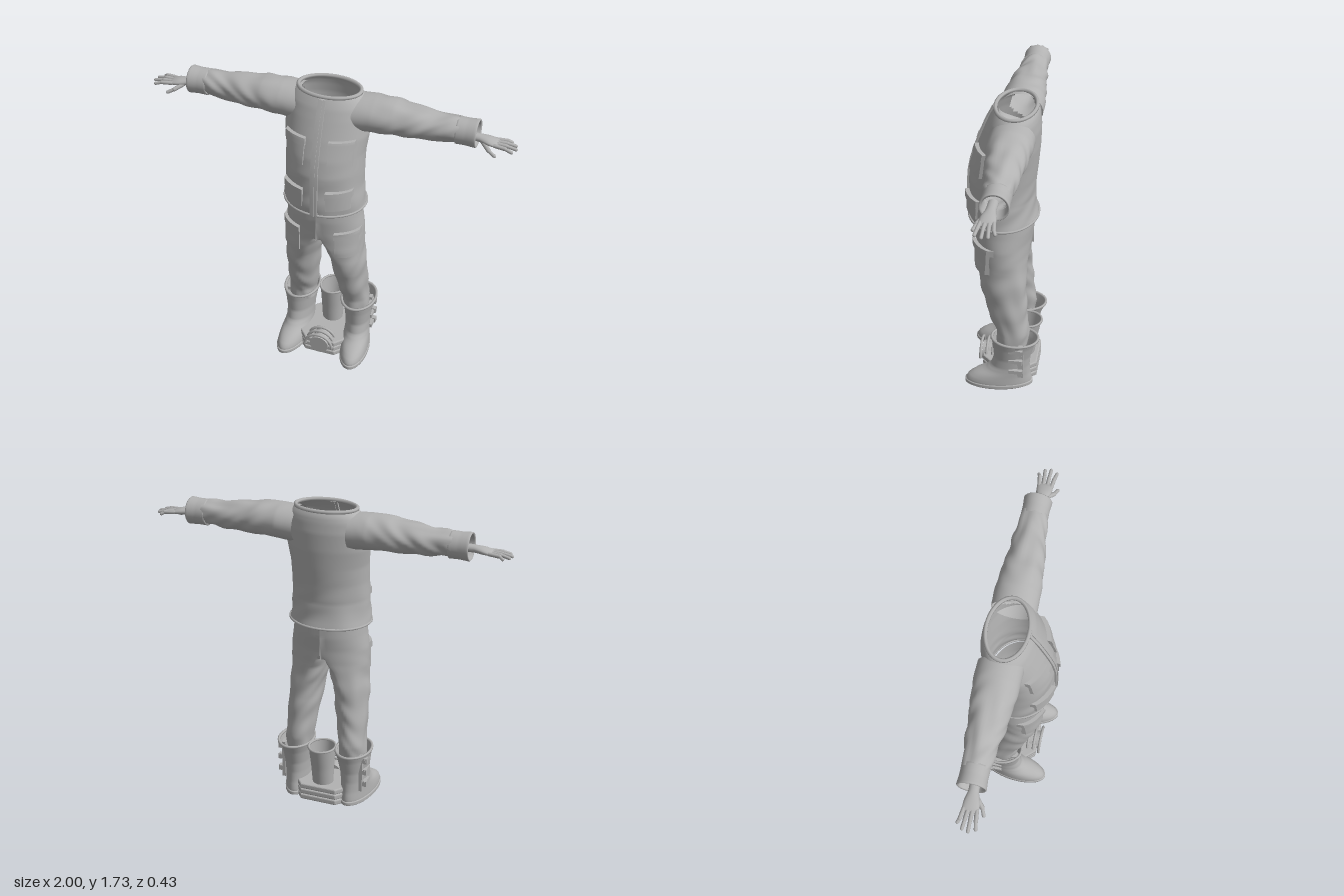
import * as THREE from 'three';

const cloth = new THREE.MeshStandardMaterial({ color: 0xb2b2b2, side: THREE.DoubleSide });
cloth.name = 'plain grey';

// Linear interpolation in a table of rows [t, a, b, ...]
function at(table, t) {
  let i = 0;
  while (i < table.length - 2 && t > table[i + 1][0]) i++;
  const p = table[i], q = table[i + 1];
  const k = Math.min(1, Math.max(0, (t - p[0]) / (q[0] - p[0])));
  return p.slice(1).map((v, j) => v + (q[j + 1] - v) * k);
}

function mesh(name, geometry) {
  const m = new THREE.Mesh(geometry, cloth);
  m.name = name;
  return m;
}

// Tube of closed rings: point(t, angle) gives a position, skip(x, y, z) cuts openings
function loft(t0, t1, rows, cols, point, skip) {
  const pos = [], idx = [];
  for (let i = 0; i <= rows; i++)
    for (let j = 0; j < cols; j++)
      pos.push(...point(t0 + (t1 - t0) * i / rows, j / cols * Math.PI * 2));
  for (let i = 0; i < rows; i++)
    for (let j = 0; j < cols; j++) {
      const a = i * cols + j, b = i * cols + (j + 1) % cols, c = a + cols, d = b + cols;
      if (skip && skip(pos[a * 3], pos[a * 3 + 1], pos[a * 3 + 2])) continue;
      idx.push(a, c, b, b, c, d);
    }
  const g = new THREE.BufferGeometry();
  g.setAttribute('position', new THREE.Float32BufferAttribute(pos, 3));
  g.setIndex(idx);
  g.computeVertexNormals();
  return g;
}

// Rounded trim following a horizontal ellipse
function trim(name, x, y, z, rx, rz, r) {
  const pts = [];
  for (let i = 0; i < 24; i++) {
    const a = i / 24 * Math.PI * 2;
    pts.push(new THREE.Vector3(x + rx * Math.cos(a), y, z + rz * Math.sin(a)));
  }
  return mesh(name, new THREE.TubeGeometry(new THREE.CatmullRomCurve3(pts, true), 64, r, 6, true));
}

const wrinkle = (a, b) => Math.sin(a * 34 + 2.2 * Math.sin(b * 2 + a * 7)) * Math.sin(b * 3 + a * 11);

// Jacket body: y, half width, front z, back z
const BODY = [
  [1.06, 0.226, 0.205, -0.172], [1.1, 0.222, 0.207, -0.165], [1.2, 0.214, 0.205, -0.152],
  [1.3, 0.213, 0.2, -0.16], [1.4, 0.215, 0.182, -0.17], [1.5, 0.228, 0.15, -0.178],
  [1.6, 0.225, 0.112, -0.18], [1.66, 0.212, 0.088, -0.174], [1.69, 0.19, 0.072, -0.168], [1.71, 0.168, 0.06, -0.157]];
// Trouser leg: y, middle x, outer radius, inner radius, front z, back z
const LEG = [
  [0.29, 0.158, 0.077, 0.075, 0.03, -0.145], [0.36, 0.155, 0.078, 0.074, 0.036, -0.148],
  [0.45, 0.15, 0.08, 0.083, 0.07, -0.14], [0.6, 0.138, 0.092, 0.092, 0.112, -0.127],
  [0.7, 0.12, 0.106, 0.09, 0.135, -0.125], [0.8, 0.08, 0.14, 0.072, 0.155, -0.125],
  [0.84, 0.045, 0.175, 0.045, 0.16, -0.128], [0.92, 0, 0.22, 0, 0.17, -0.138],
  [1.0, 0, 0.208, 0, 0.18, -0.148], [1.1, 0, 0.2, 0, 0.182, -0.15]];
// Sleeve: x, middle y, y radius, middle z, z radius
const SLEEVE = [
  [0.15, 1.6, 0.098, -0.05, 0.118], [0.25, 1.608, 0.095, -0.052, 0.118], [0.36, 1.607, 0.092, -0.05, 0.108],
  [0.5, 1.602, 0.08, -0.052, 0.092], [0.62, 1.6, 0.07, -0.056, 0.077], [0.7, 1.6, 0.064, -0.057, 0.07]];
// Boot: y, half width, front z, back z
const BOOT = [
  [0.01, 0.077, 0.203, -0.165], [0.03, 0.08, 0.208, -0.168], [0.055, 0.079, 0.195, -0.165],
  [0.08, 0.077, 0.16, -0.16], [0.11, 0.074, 0.098, -0.157], [0.14, 0.072, 0.064, -0.155],
  [0.2, 0.074, 0.047, -0.16], [0.28, 0.085, 0.053, -0.182], [0.33, 0.096, 0.06, -0.202]];

function oval(table, y, a, cx = 0) {
  const [rx, f, b] = at(table, y);
  return [cx + rx * Math.cos(a), y, (f + b) / 2 + (f - b) / 2 * Math.sin(a)];
}
const bodyFront = (x, y) => {
  const [rx, f, b] = at(BODY, y);
  return (f + b) / 2 + (f - b) / 2 * Math.sqrt(Math.max(0.02, 1 - (x / rx) ** 2));
};
const legFront = (x, y) => {
  const [cx, ro, ri, f, b] = at(LEG, y);
  const k = (x - cx) / (x > cx ? ro : Math.max(ri, 0.01));
  return (f + b) / 2 + (f - b) / 2 * Math.sqrt(Math.max(0.02, 1 - k * k));
};

// Slab bent over a garment's front
function patch(name, x0, x1, y0, y1, depth, front) {
  const g = new THREE.BoxGeometry(x1 - x0, y1 - y0, depth, 10, 8, 1);
  g.translate((x0 + x1) / 2, (y0 + y1) / 2, 0);
  const p = g.attributes.position;
  for (let i = 0; i < p.count; i++) {
    const x = p.getX(i), y = p.getY(i);
    p.setXYZ(i, x * (1 + depth * 0.8), y, p.getZ(i) + front(x, y));
  }
  g.computeVertexNormals();
  return mesh(name, g);
}
function pocket(x0, x1, y0, y1, front) {
  const g = new THREE.Group();
  g.name = 'pocket';
  g.add(patch('pouch', x0, x1, y0, y1 - 0.02, 0.026, front),
    patch('pocketFlap', x0 - 0.005, x1 + 0.005, y1 - 0.04, y1, 0.042, front));
  return g;
}

function capsule(name, from, to, r) {
  const a = new THREE.Vector3(...from), b = new THREE.Vector3(...to), d = b.clone().sub(a);
  const m = mesh(name, new THREE.CapsuleGeometry(r, d.length(), 4, 8));
  m.position.copy(a).addScaledVector(d, 0.5);
  m.quaternion.setFromUnitVectors(new THREE.Vector3(0, 1, 0), d.normalize());
  return m;
}

function hand() {
  const g = new THREE.Group();
  g.name = 'hand';
  const PALM = [[0.73, 1.587, 0.022, -0.045, 0.026], [0.8, 1.585, 0.02, -0.043, 0.026],
    [0.85, 1.58, 0.019, -0.04, 0.041], [0.89, 1.574, 0.013, -0.04, 0.042], [0.905, 1.572, 0.004, -0.04, 0.035]];
  g.add(mesh('palm', loft(0.73, 0.905, 14, 16, (x, a) => {
    const [y, ry, z, rz] = at(PALM, x);
    return [x, y + ry * Math.cos(a), z + rz * Math.sin(a)];
  })));
  [[-0.072, -0.088, 0.957], [-0.051, -0.06, 0.984], [-0.03, -0.029, 0.991], [-0.008, 0.005, 0.975]].forEach(([z0, z1, x]) => {
    const mid = [0.94, 1.573, (z0 + z1) / 2];
    g.add(capsule('finger', [0.885, 1.575, z0], mid, 0.0105), capsule('fingertip', mid, [x, 1.563, z1], 0.009));
  });
  g.add(capsule('thumb', [0.82, 1.575, -0.025], [0.862, 1.553, 0.012], 0.012),
    capsule('thumbTip', [0.862, 1.553, 0.012], [0.895, 1.537, 0.026], 0.0095));
  return g;
}

function side() {
  const g = new THREE.Group();
  // Trouser leg; the inner half stays below the crotch
  g.add(mesh('trouserLeg', loft(1.1, 0.29, 70, 40, (y, a) => {
    const [cx, ro, ri, f, b] = at(LEG, y), c = Math.cos(a), s = Math.sin(a);
    const n = 0.005 * wrinkle(y, a) * Math.min(1, Math.max(0, (0.95 - y) * 5));
    const inner = c < -0.01;
    return [cx + c * ((inner ? ri : ro) + n * (c > 0 || y < 0.8 ? 1 : 0)),
      inner ? Math.min(y, 0.87) : y, (f + b) / 2 + s * ((f - b) / 2 + n)];
  })));
  g.add(pocket(0.1, 0.205, 0.77, 0.935, legFront));
  g.add(pocket(0.065, 0.178, 1.365, 1.51, bodyFront), pocket(0.065, 0.178, 1.11, 1.225, bodyFront));
  // Sleeve and turned-back cuff
  g.add(mesh('sleeve', loft(0.15, 0.7, 60, 36, (x, a) => {
    const [y, ry, z, rz] = at(SLEEVE, x);
    const n = 0.006 * wrinkle(x, a) * Math.min(1, Math.max(0, (x - 0.2) * 5));
    return [x, y + (ry + n) * Math.cos(a), z + (rz + n) * Math.sin(a)];
  })));
  const CUFF = [[0, 0.68, 0.062], [0.1, 0.682, 0.072], [0.45, 0.735, 0.071], [0.7, 0.785, 0.075], [0.8, 0.79, 0.071], [0.9, 0.785, 0.062], [1, 0.72, 0.058]];
  g.add(mesh('cuff', loft(0, 1, 20, 32, (t, a) => {
    const [x, r] = at(CUFF, t);
    return [x, 1.597 + r * Math.cos(a), -0.057 + r * Math.sin(a)];
  })));
  g.add(hand());
  // Boot with sole, rim and side straps
  const foot = new THREE.Group();
  foot.name = 'boot';
  const splay = ([x, y, z]) => [x + 0.1 * z, y, z];
  foot.add(mesh('bootUpper', loft(0.01, 0.33, 32, 36, (y, a) => splay(oval(BOOT, y, a, 0.18)))));
  const SOLE = [[0, 0.005, 0], [0.25, 0.98, 0], [0.4, 1.04, 0.006], [0.7, 1.04, 0.024], [0.85, 0.98, 0.03], [1, 0.9, 0.03]];
  foot.add(mesh('sole', loft(0, 1, 20, 36, (t, a) => {
    const [k, y] = at(SOLE, t);
    return splay([0.18 + 0.08 * k * Math.cos(a), y, 0.02 + 0.186 * k * Math.sin(a)]);
  })));
  foot.add(trim('bootRim', 0.173, 0.328, -0.071, 0.096, 0.131, 0.008));
  const box = (name, w, h, d, x, y, z) => {
    const m = mesh(name, new THREE.BoxGeometry(w, h, d));
    m.position.set(x, y, z);
    foot.add(m);
  };
  [0.282, 0.212, 0.138].forEach((y) => {
    box('strap', 0.03, 0.022, 0.08, 0.245, y, -0.085);
    box('buckle', 0.02, 0.032, 0.026, 0.256, y, -0.11);
  });
  box('strapBacking', 0.02, 0.22, 0.03, 0.232, 0.2, -0.112);
  g.add(foot);
  return g;
}

export function createModel() {
  const model = new THREE.Group();
  model.name = 'workSuit';
  // Jacket body with armholes
  model.add(mesh('jacketBody', loft(1.06, 1.71, 60, 72, (y, a) => {
    const p = oval(BODY, y, a), n = 0.004 * wrinkle(y, a) * Math.min(1, Math.max(0, (1.35 - y) * 5));
    return [p[0] + n * Math.cos(a), y, p[2] + n * Math.sin(a)];
  }, (x, y, z) => Math.abs(x) > 0.14 && Math.hypot(y - 1.6, z + 0.05) < 0.075)));
  model.add(trim('jacketHem', 0, 1.065, 0.0165, 0.226, 0.189, 0.007));
  model.add(trim('collar', 0, 1.714, -0.048, 0.168, 0.107, 0.011));
  model.add(patch('zipPlacket', -0.02, 0.02, 1.065, 1.705, 0.02, bodyFront));
  model.add(patch('zip', -0.005, 0.005, 1.065, 1.705, 0.028, bodyFront));
  const left = side(), right = side();
  left.name = 'leftSide';
  right.name = 'rightSide';
  right.scale.x = -1;
  model.add(left, right);

  // Stacked base plates between the boots
  const outline = [[-0.1, 0.18], [0.1, 0.18], [0.15, 0.12], [0.14, -0.06], [0.085, -0.12], [-0.085, -0.12], [-0.14, -0.06], [-0.15, 0.12]];
  const shape = new THREE.Shape(outline.map(([x, y]) => new THREE.Vector2(x, y)));
  for (let i = 0; i < 3; i++) {
    const g = new THREE.ExtrudeGeometry(shape, { depth: 0.016, bevelThickness: 0.008, bevelSize: 0.008, bevelSegments: 3 });
    const plate = mesh('basePlate', g.rotateX(-Math.PI / 2));
    plate.position.y = 0.009 + i * 0.034;
    model.add(plate);
  }
  // Upright holder behind
  const HOLDER = [[0.08, 0.058, -0.05, -0.16], [0.2, 0.065, -0.045, -0.175], [0.33, 0.075, -0.035, -0.2]];
  model.add(mesh('holder', loft(0.08, 0.33, 12, 32, (y, a) => oval(HOLDER, y, a))));
  model.add(trim('holderRim', 0, 0.328, -0.118, 0.074, 0.082, 0.007));
  // Hooped front fitting
  [0.145, 0.11, 0.075].forEach((z) => {
    const hoop = mesh('hoop', new THREE.TorusGeometry(0.08, 0.008, 8, 24, Math.PI));
    hoop.position.set(0, 0.07, z);
    model.add(hoop);
  });
  const drum = mesh('drum', new THREE.CylinderGeometry(0.055, 0.055, 0.1, 24).rotateX(Math.PI / 2));
  drum.position.set(0, 0.07, 0.09);
  model.add(drum);
  return model;
}
